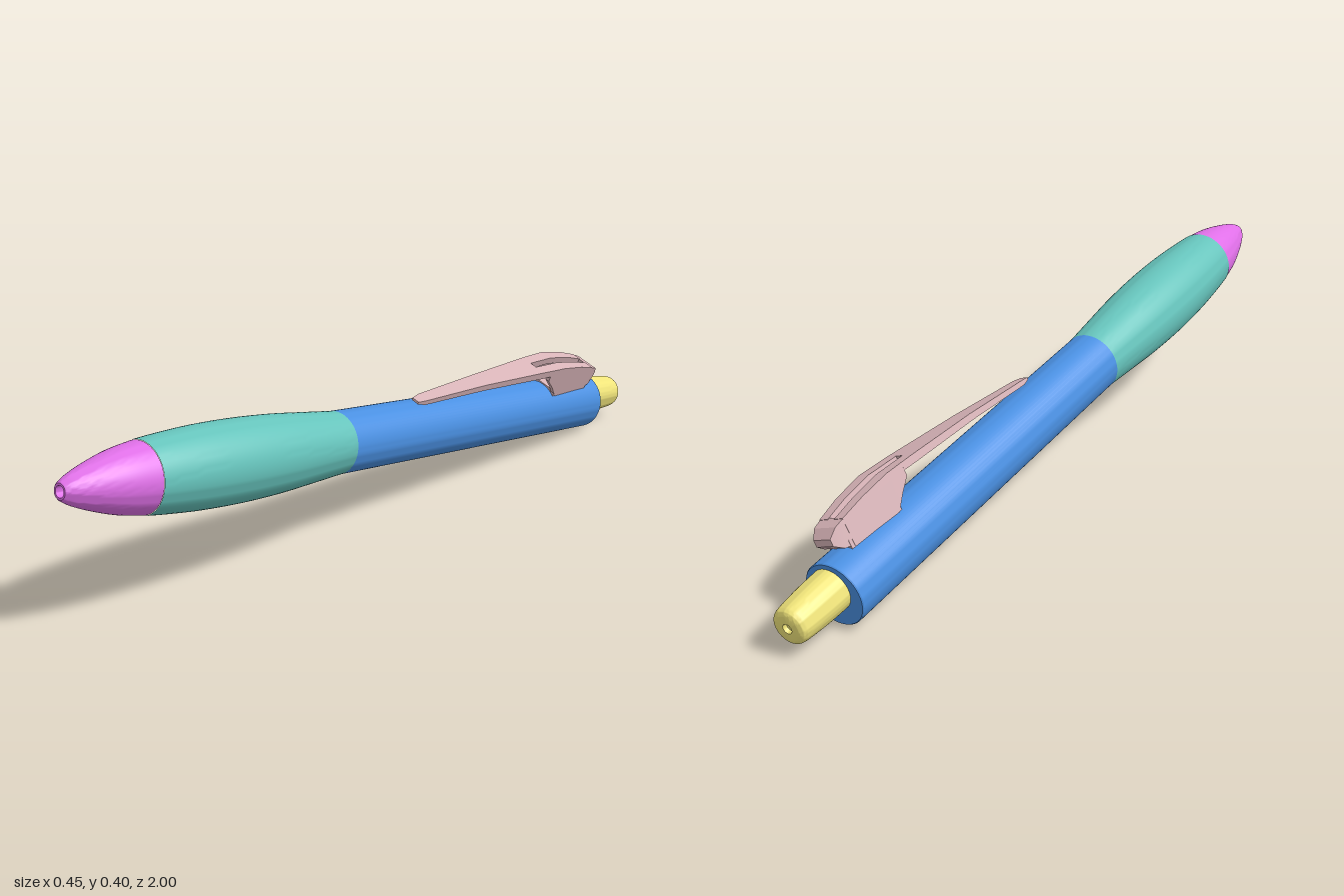
import * as THREE from 'three';
import { toCreasedNormals } from 'three/addons/utils/BufferGeometryUtils.js';

const mat = (color) => new THREE.MeshStandardMaterial({ color });
const BLUE = mat(0x4a90e2), TEAL = mat(0x66c4bc), PINK = mat(0xe070e8);
const YELLOW = mat(0xf0e47a), INK = mat(0x2a2ad0), ROSE = mat(0xd8b4b8);

// Turned part along local z, from [radius, z] points running rear to front
function turned(name, points, material) {
  const geo = new THREE.LatheGeometry(points.map(([r, z]) => new THREE.Vector2(r, z)), 64);
  geo.rotateX(Math.PI / 2);
  const mesh = new THREE.Mesh(toCreasedNormals(geo, 0.5), material);
  mesh.name = name;
  return mesh;
}

// Smooth profile through a few [radius, z] points
function smooth(points, n = 24) {
  const curve = new THREE.SplineCurve(points.map((p) => new THREE.Vector2(...p)));
  return curve.getPoints(n).map((p) => [p.x, p.y]);
}

// Four-sided bar through sections [z, bottom, top, xMin, xMax], z falling
function bar(name, sections, material) {
  const loops = sections.map(([z, b, t, x0, x1]) => [[x0, b, z], [x1, b, z], [x1, t, z], [x0, t, z]]);
  const pos = [];
  const quad = (a, b, c, d) => pos.push(...a, ...b, ...c, ...a, ...c, ...d);
  for (let i = 0; i < loops.length - 1; i++) {
    const f = loops[i], r = loops[i + 1];
    for (let k = 0; k < 4; k++) {
      const n = (k + 1) % 4;
      quad(f[k], r[k], r[n], f[n]);
    }
  }
  const last = loops[loops.length - 1];
  quad(...loops[0]);
  quad(last[3], last[2], last[1], last[0]);
  const geo = new THREE.BufferGeometry();
  geo.setAttribute('position', new THREE.Float32BufferAttribute(pos, 3));
  geo.computeVertexNormals();
  const mesh = new THREE.Mesh(toCreasedNormals(geo, 0.4), material);
  mesh.name = name;
  return mesh;
}

function makeClip() {
  const clip = new THREE.Group();
  clip.name = 'clip';
  // Tapering strap ahead of the slot
  clip.add(bar('clipStrap', [
    [0.805, 0.086, 0.092, -0.011, 0.011],
    [0.78, 0.084, 0.097, -0.016, 0.016],
    [0.56, 0.108, 0.125, -0.026, 0.026],
    [0.33, 0.128, 0.148, -0.04, 0.04],
  ], ROSE));
  // Rails beside the slot and the walls below them
  for (const s of [-1, 1]) {
    const side = (a, b) => (s > 0 ? [a, b] : [-b, -a]);
    clip.add(bar('clipRail', [
      [0.33, 0.128, 0.148, ...side(0.01, 0.04)],
      [0.237, 0.137, 0.155, ...side(0.012, 0.044)],
      [0.15, 0.132, 0.149, ...side(0.012, 0.041)],
      [0.08, 0.12, 0.138, ...side(0.01, 0.036)],
    ], ROSE));
    clip.add(bar('clipWall', [
      [0.29, 0.118, 0.138, ...side(0.03, 0.042)],
      [0.255, 0.092, 0.142, ...side(0.031, 0.043)],
      [0.225, 0.064, 0.14, ...side(0.031, 0.043)],
      [0.08, 0.07, 0.125, ...side(0.024, 0.036)],
    ], ROSE));
  }
  // Foot on the barrel and closed rear nose
  clip.add(bar('clipFoot', [
    [0.235, 0.062, 0.08, -0.042, 0.042],
    [0.07, 0.062, 0.09, -0.035, 0.035],
  ], ROSE));
  clip.add(bar('clipNose', [
    [0.085, 0.072, 0.138, -0.036, 0.036],
    [0.055, 0.08, 0.132, -0.033, 0.033],
    [0.034, 0.098, 0.115, -0.026, 0.026],
  ], ROSE));
  return clip;
}

export function createModel() {
  const pen = new THREE.Group();
  pen.name = 'pen';

  pen.add(turned('barrel', [[0, 0], [0.075, 0], [0.077, 0.003], [0.077, 1.063], [0, 1.063]], BLUE));

  // Swelling grip
  pen.add(turned('grip', smooth([
    [0.077, 1.063], [0.086, 1.18], [0.093, 1.28], [0.0965, 1.4], [0.0945, 1.52], [0.088, 1.62], [0.082, 1.683],
  ]), TEAL));

  // Nose cone with an open bore, and the refill inside it
  pen.add(turned('noseCone', [
    ...smooth([[0.081, 1.683], [0.07, 1.75], [0.052, 1.815], [0.034, 1.865], [0.021, 1.89]], 16),
    [0.018, 1.893], [0.013, 1.893], [0.013, 1.83],
  ], PINK));
  pen.add(turned('refill', [[0.0125, 1.7], [0.0125, 1.86], [0.006, 1.875], [0, 1.878]], INK));

  // Push button with a small dimple in its end
  const button = turned('button', [
    [0, -0.135], [0.01, -0.135], [0.012, -0.145],
    ...smooth([[0.03, -0.145], [0.039, -0.141], [0.044, -0.13], [0.047, -0.1], [0.05, -0.05], [0.051, 0.01]], 20),
  ], YELLOW);
  button.position.y = 0.014;
  pen.add(button);

  pen.add(makeClip());

  // Tilt the pen: local z runs to the tip, local y to the clip
  const z = new THREE.Vector3(-0.1727, 0.1438, 0.9744).normalize();
  const x = new THREE.Vector3(0.37, 0.927, -0.072).cross(z).normalize();
  const y = new THREE.Vector3().crossVectors(z, x);
  pen.quaternion.setFromRotationMatrix(new THREE.Matrix4().makeBasis(x, y, z));
  pen.position.set(0.148, 0.077, -0.85);

  const model = new THREE.Group();
  model.name = 'ballpointPen';
  model.add(pen);
  return model;
}
